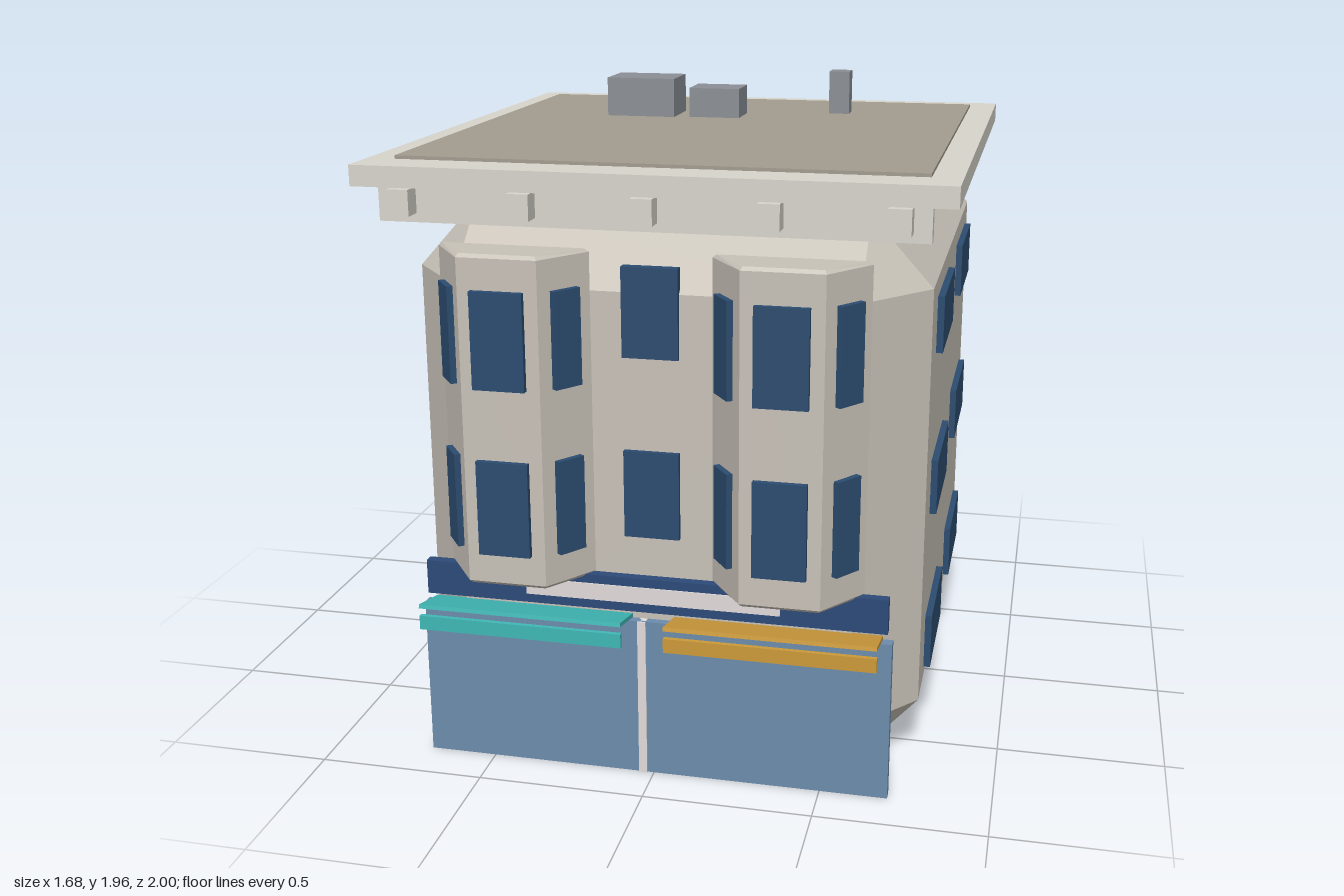
import * as THREE from 'three';
import { ConvexGeometry } from 'three/addons/geometries/ConvexGeometry.js';

const paint = (color) => new THREE.MeshStandardMaterial({ color });
const WALL = paint(0xc8c2b8), TRIM = paint(0xd8d5cc), ROOF = paint(0xa39d90), UNIT = paint(0x8b9096);
const WINDOW = paint(0x2c4c70), GLASS = paint(0x6c8cac), SIGN = paint(0x2d4a78), PALE = paint(0xe2dcda);
const TEAL = paint(0x40b8b6), AMBER = paint(0xcc9a3a);

export function createModel() {
  const model = new THREE.Group();

  function add(name, geometry, material, parent = model) {
    const mesh = new THREE.Mesh(geometry, material);
    mesh.name = name;
    parent.add(mesh);
    return mesh;
  }
  // Box given by its extents along each axis
  function box(name, [x0, x1], [y0, y1], [z0, z1], material, parent) {
    const mesh = add(name, new THREE.BoxGeometry(x1 - x0, y1 - y0, z1 - z0), material, parent);
    mesh.position.set((x0 + x1) / 2, (y0 + y1) / 2, (z0 + z1) / 2);
    return mesh;
  }

  // Main block: chamfered box, three points at every corner
  const points = [];
  for (const sx of [-1, 1])
    for (const [yOut, yIn] of [[0, 0.2], [1.67, 1.47]])
      for (const [zOut, zIn] of [[-1, -0.78], [0.835, 0.615]])
        points.push(
          new THREE.Vector3(sx * 0.76, yIn, zIn),
          new THREE.Vector3(sx * 0.58, yOut, zIn),
          new THREE.Vector3(sx * 0.58, yIn, zOut));
  add('building', new ConvexGeometry(points), WALL);

  // Windows on both side walls
  for (const side of [-1, 1])
    for (const y of [0.315, 0.822, 1.325])
      for (const z of [0.25, -0.485])
        add('sideWindow', new THREE.BoxGeometry(0.03, 0.17, 0.4), WINDOW).position.set(side * 0.765, y, z);

  // Windows between the bays
  box('centreWindow', [-0.082, 0.08], [0.75, 1.01], [0.82, 0.85], WINDOW);
  box('centreWindow', [-0.082, 0.08], [1.285, 1.545], [0.82, 0.85], WINDOW);

  // Bay windows: bevelled trapezoid with three windows per floor
  const plan = new THREE.Shape([[-0.22, 0.835], [0.22, 0.835], [0.115, 0.982], [-0.115, 0.982]]
    .map(([x, z]) => new THREE.Vector2(x, z)));
  const bayGeometry = new THREE.ExtrudeGeometry(plan, {
    depth: 0.95, bevelEnabled: true, bevelSegments: 1, bevelSize: 0.01, bevelThickness: 0.01, bevelOffset: -0.01 });
  bayGeometry.rotateX(Math.PI / 2).translate(0, 1.58, 0);
  for (const x of [-0.395, 0.395]) {
    const bay = new THREE.Group();
    bay.name = 'bayWindow';
    bay.position.x = x;
    model.add(bay);
    add('bayWall', bayGeometry, WALL, bay);
    for (const y of [0.86, 1.35]) {
      box('bayFrontWindow', [-0.076, 0.076], [y - 0.14, y + 0.14], [0.975, 1], WINDOW, bay);
      for (const side of [-1, 1]) {
        const pane = add('baySideWindow', new THREE.BoxGeometry(0.09, 0.28, 0.025), WINDOW, bay);
        pane.position.set(side * 0.171, y, 0.913);
        pane.rotation.y = side * 0.95;
      }
    }
  }

  // Cornice with brackets
  box('cornice', [-0.77, 0.77], [1.65, 1.745], [0.834, 0.875], TRIM);
  for (let i = -2; i <= 2; i++)
    box('corniceBracket', [i * 0.345 - 0.031, i * 0.345 + 0.031], [1.676, 1.75], [0.866, 0.933], TRIM);

  // Roof slab, roof surface and rooftop units
  box('roofSlab', [-0.84, 0.84], [1.75, 1.81], [-0.895, 0.908], TRIM);
  box('roofSurface', [-0.757, 0.755], [1.8, 1.82], [-0.765, 0.78], ROOF);
  box('rooftopUnit', [-0.41, -0.183], [1.815, 1.945], [-0.375, -0.205], UNIT);
  box('rooftopUnit', [-0.135, 0.033], [1.815, 1.915], [-0.36, -0.222], UNIT);
  box('chimney', [0.305, 0.373], [1.815, 1.96], [-0.478, -0.41], UNIT);

  // Shop front with centre post and sign band
  box('shopGlass', [-0.703, 0.7], [0, 0.49], [0.827, 0.86], GLASS);
  box('shopPost', [-0.045, -0.02], [0, 0.49], [0.835, 0.865], PALE);
  box('signBand', [-0.69, 0.687], [0.522, 0.627], [0.834, 0.864], SIGN);
  box('signPanel', [-0.38, 0.378], [0.55, 0.6], [0.855, 0.868], PALE);

  // Awnings tilted up towards the street, each with a hanging valance
  for (const [x, material] of [[-0.37, TEAL], [0.365, AMBER]]) {
    const awning = add('awning', new THREE.BoxGeometry(0.61, 0.012, 0.15), material);
    awning.position.set(x, 0.512, 0.903);
    awning.rotation.x = -0.22;
    box('awningValance', [x - 0.305, x + 0.305], [0.455, 0.498], [0.961, 0.975], material);
  }

  return model;
}
